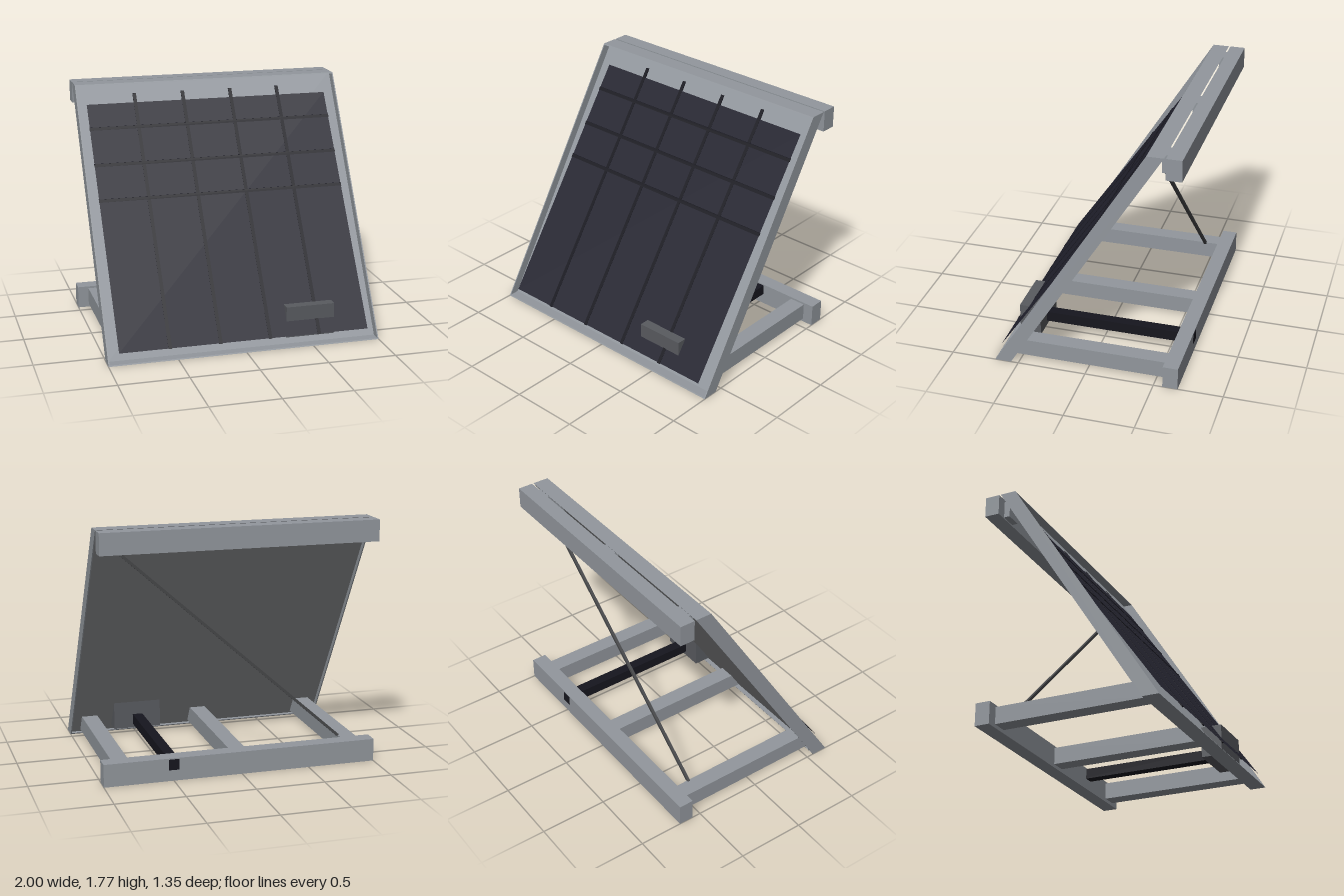
import * as THREE from 'three';

const mat = (name, color) => {
  const m = new THREE.MeshStandardMaterial({ color });
  m.name = name;
  return m;
};

export function createModel() {
  const steel = mat('steel grey', 0x92979d);
  const backing = mat('backing grey', 0x88898b);
  const cells = mat('cell navy', 0x242430);
  const black = mat('near black', 0x16161e);
  const housing = mat('housing grey', 0x595b60);
  const cable = mat('cable grey', 0x47484a);
  cells.side = THREE.DoubleSide;

  const model = new THREE.Group();
  const add = (parent, name, geo, material) => {
    const m = new THREE.Mesh(geo, material);
    m.name = name;
    parent.add(m);
    return m;
  };
  const group = (name) => {
    const g = new THREE.Group();
    g.name = name;
    model.add(g);
    return g;
  };
  // box given by its limits on each axis
  const box = (x0, x1, y0, y1, z0, z1) =>
    new THREE.BoxGeometry(x1 - x0, y1 - y0, z1 - z0)
      .translate((x0 + x1) / 2, (y0 + y1) / 2, (z0 + z1) / 2);
  // lean a geometry backwards: z falls by slope for each unit of height
  const lean = (geo, slope) => {
    const p = geo.attributes.position;
    for (let i = 0; i < p.count; i++) p.setZ(i, p.getZ(i) - slope * p.getY(i));
    geo.computeVertexNormals();
    return geo;
  };

  // leaning tray: thin rim walls around a recessed board
  const FRAME = 0.625, H = 1.775, T = 0.008;
  const tray = group('tray');
  for (const s of [-1, 1]) {
    const a = s * (1 - T);
    add(tray, 'sideRim', lean(box(Math.min(a, s), Math.max(a, s), 0, H, 0.556, 0.675), FRAME), steel);
  }
  add(tray, 'bottomRim', lean(box(-1, 1, 0, T, 0.556, 0.675), FRAME), steel);
  add(tray, 'topRim', lean(box(-1, 1, H - T, H, 0.556, 0.675), FRAME), steel);
  add(tray, 'board', lean(box(-0.995, 0.995, 0.002, H - 0.002, 0.595, 0.605), FRAME),
    [steel, steel, steel, steel, steel, backing]);

  // solar sheet, a little flatter than the tray
  const SHEET = 0.684, Z0 = 0.709;
  const solar = group('solarPanel');
  add(solar, 'solarSheet', lean(
    new THREE.PlaneGeometry(1.84, 1.547).translate(0, 0.8565, Z0), SHEET), cells);
  for (const y of [1.47, 1.235, 1.01])
    add(solar, 'crossSeam', lean(box(-0.922, 0.922, y - 0.01, y + 0.01, Z0 - 0.002, Z0 + 0.004), SHEET), black);
  for (const x of [-0.555, -0.187, 0.181, 0.549])
    add(solar, 'wireRib', lean(box(x - 0.013, x + 0.013, 0.08, 1.69, Z0 - 0.008, Z0 + 0.002), SHEET), black);

  // rear beams
  add(model, 'upperBeam', box(-1, 1, 1.62, H, -0.675, -0.565), steel);
  add(model, 'lowerBeam', box(-1, 1, 0, 0.165, -0.675, -0.565), steel);

  // floor struts with slanted front ends, and spacers behind the top rim
  const profile = new THREE.Shape([
    [-0.565, 0.025], [0.58, 0.025], [0.502, 0.15], [-0.565, 0.15],
  ].map(([z, y]) => new THREE.Vector2(-z, y)));
  for (const x of [-0.86, 0, 0.86]) {
    const strut = new THREE.ExtrudeGeometry(profile, { depth: 0.12, bevelEnabled: false });
    strut.translate(0, 0, -0.06).rotateY(Math.PI / 2).translate(x, 0, 0);
    add(model, 'floorStrut', strut, steel);
    add(model, 'spacer', box(x - 0.06, x + 0.06, 1.63, 1.76, -0.567, -0.52), steel);
  }

  // drive housing and its push rod through the lower beam
  add(model, 'driveHousing', box(0.32, 0.68, 0.05, 0.28, 0.435, 0.59), housing);
  add(model, 'pushRod', box(0.46, 0.535, 0.08, 0.157, -0.679, 0.45), black);

  // diagonal stay from the top rim to a floor strut
  const a = new THREE.Vector3(0.83, 1.6, -0.525), b = new THREE.Vector3(-0.81, 0.14, -0.46);
  const stay = add(model, 'diagonalStay',
    new THREE.BoxGeometry(0.02, 0.02, a.distanceTo(b)), cable);
  stay.position.copy(a).lerp(b, 0.5);
  stay.lookAt(b);

  return model;
}
